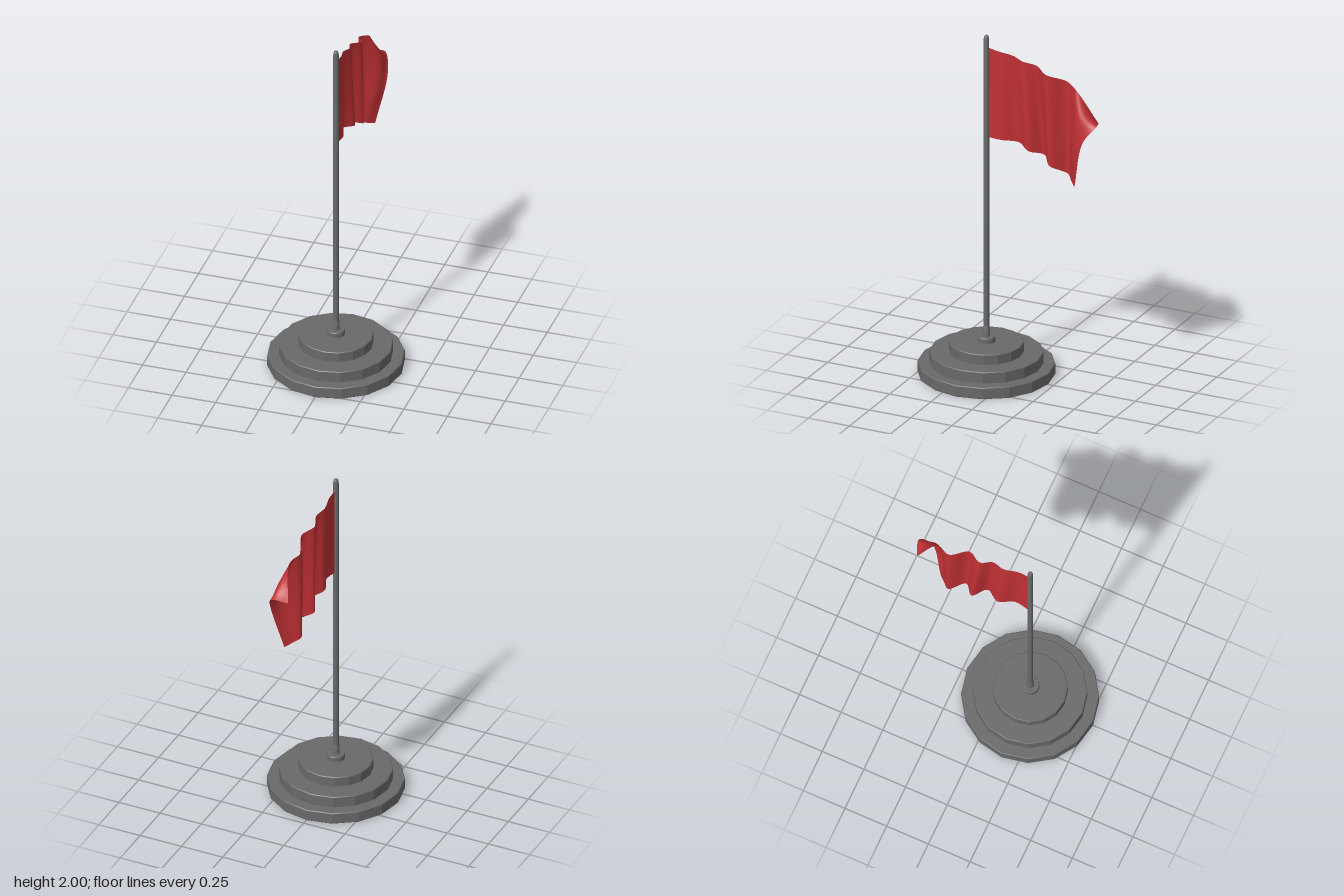
import * as THREE from 'three';
import { toCreasedNormals } from 'three/addons/utils/BufferGeometryUtils.js';

const POLE_Z = 0.157;

// Revolved part from [radius, y] points, with edges above the crease angle kept sharp
function lathe(name, points, sides, crease, material) {
  const profile = points.map(([r, y]) => new THREE.Vector2(r, y));
  const geometry = toCreasedNormals(new THREE.LatheGeometry(profile, sides), crease);
  const mesh = new THREE.Mesh(geometry, material);
  mesh.name = name;
  mesh.position.z = POLE_Z;
  return mesh;
}

// Cloth surface through rows of control points, top edge first, hoist to fly
function clothGeometry(rows, uSteps, vSteps) {
  const curves = rows.map((row) => new THREE.CatmullRomCurve3(row.map((p) => new THREE.Vector3(...p))));
  const positions = [];
  const indices = [];
  for (let i = 0; i <= uSteps; i++) {
    const column = new THREE.CatmullRomCurve3(curves.map((c) => c.getPoint(i / uSteps)));
    for (let j = 0; j <= vSteps; j++) {
      const p = column.getPoint(j / vSteps);
      positions.push(p.x, p.y, p.z);
      if (i < uSteps && j < vSteps) {
        const a = i * (vSteps + 1) + j;
        const b = a + vSteps + 1;
        indices.push(a, a + 1, b, b, a + 1, b + 1);
      }
    }
  }
  const geometry = new THREE.BufferGeometry();
  geometry.setAttribute('position', new THREE.Float32BufferAttribute(positions, 3));
  geometry.setIndex(indices);
  geometry.computeVertexNormals();
  return geometry;
}

export function createModel() {
  const group = new THREE.Group();
  group.name = 'flagOnStand';
  const grey = new THREE.MeshStandardMaterial({ color: 0x696969 });
  grey.name = 'greyMetal';
  const red = new THREE.MeshStandardMaterial({ color: 0xc03034, side: THREE.DoubleSide });
  red.name = 'redCloth';

  // Three stacked sixteen-sided steps with small bevels
  const steps = [
    ['lowerStep', 0.377, 0, 0.067],
    ['middleStep', 0.313, 0.06, 0.132],
    ['upperStep', 0.205, 0.125, 0.191],
  ];
  for (const [name, r, y0, y1] of steps) {
    const b = 0.004;
    group.add(lathe(name, [[0, y0], [r - b, y0], [r, y0 + b], [r, y1 - b], [r - b, y1], [0, y1]], 16, 0.3, grey));
  }

  // Round flange and tapered socket holding the pole
  group.add(lathe('flange', [[0, 0.185], [0.05, 0.185], [0.05, 0.217], [0.047, 0.221], [0, 0.221]], 32, 0.5, grey));
  group.add(lathe('socket', [[0.021, 0.215], [0.019, 0.27], [0.015, 0.28]], 24, 0.5, grey));

  // Pole with a slightly rounded tip
  group.add(lathe('pole', [[0.016, 0.22], [0.0155, 1.975], [0.0135, 1.993], [0.009, 2], [0, 2]], 24, 0.5, grey));

  // Waving flag: folds deepen towards the fly, whose top corner turns over
  const rows = [
    [[0, 1.93, 0.15], [0.004, 1.92, 0.08], [-0.008, 1.905, 0], [0.01, 1.89, -0.07], [-0.014, 1.87, -0.14],
      [0.028, 1.845, -0.22], [-0.022, 1.808, -0.32], [0.012, 1.775, -0.4], [-0.03, 1.59, -0.51]],
    [[0, 1.755, 0.15], [0.008, 1.75, 0.075], [-0.013, 1.735, -0.01], [0.016, 1.715, -0.085], [-0.022, 1.69, -0.155],
      [0.03, 1.665, -0.23], [-0.024, 1.64, -0.325], [0.065, 1.63, -0.43], [0.055, 1.605, -0.538]],
    [[0, 1.58, 0.15], [0.01, 1.575, 0.068], [-0.018, 1.56, -0.02], [0.02, 1.54, -0.1], [-0.028, 1.515, -0.168],
      [0.03, 1.49, -0.235], [-0.025, 1.455, -0.328], [0.06, 1.46, -0.4], [0.094, 1.515, -0.475]],
    [[0, 1.4, 0.15], [0.012, 1.402, 0.06], [-0.022, 1.393, -0.03], [0.024, 1.372, -0.11], [-0.033, 1.343, -0.18],
      [0.029, 1.31, -0.24], [-0.024, 1.262, -0.325], [0.012, 1.237, -0.365], [0.045, 1.22, -0.4]],
  ];
  const flag = new THREE.Mesh(clothGeometry(rows, 72, 28), red);
  flag.name = 'flag';
  group.add(flag);

  return group;
}
